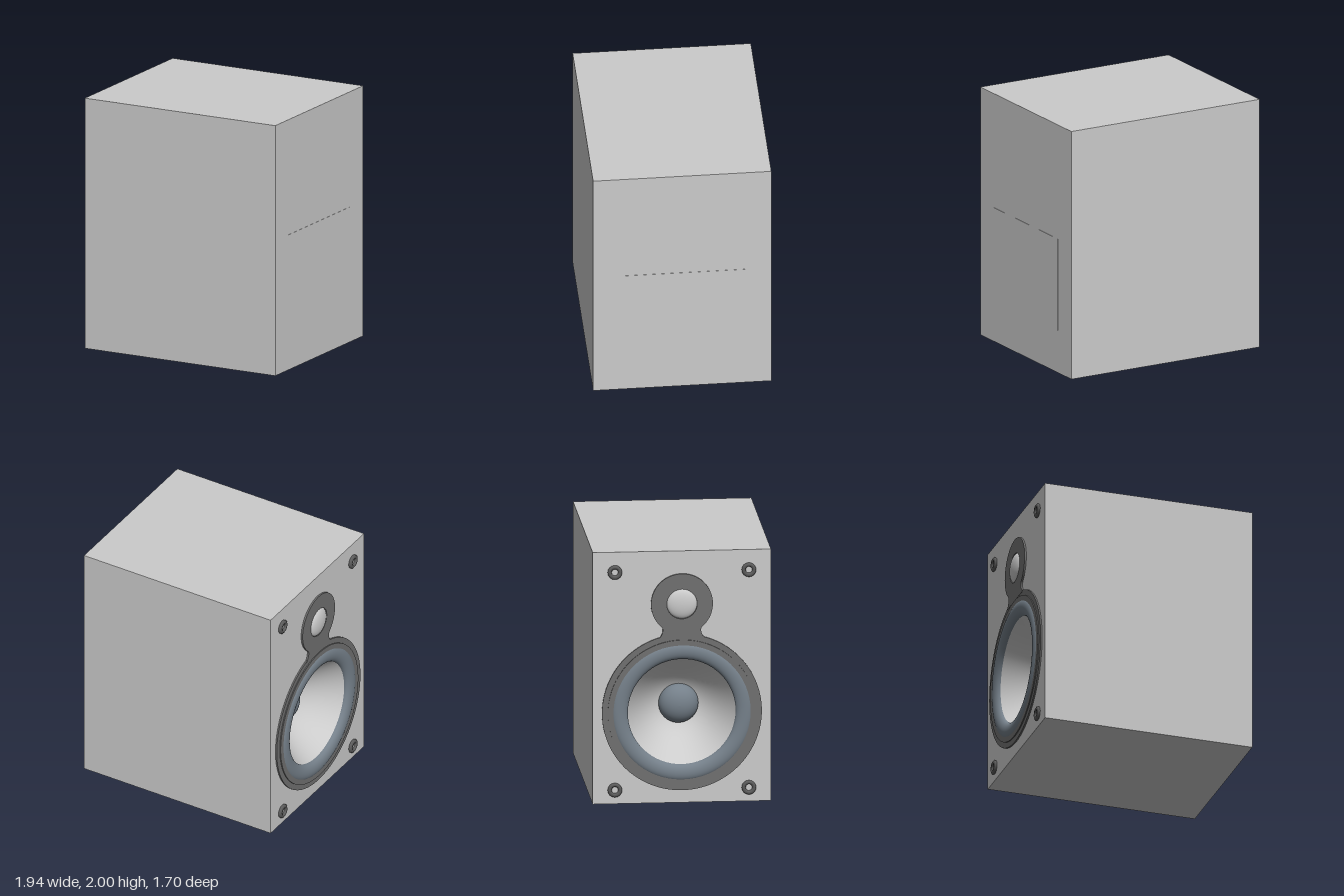
import * as THREE from 'three';

const W = 1.383, H = 2, D = 1.69, FACE = D / 2;
const WOOFER_Y = 0.72, TWEETER_Y = 1.58;

const mat = (color, side = THREE.FrontSide) => new THREE.MeshStandardMaterial({ color, side });
const grey = mat(0xcccccc);
const paleCone = mat(0xcccccc, THREE.DoubleSide);
const dark = mat(0x707070);
const socketDark = mat(0x5c5c5c, THREE.DoubleSide);
const rubber = mat(0x75808a, THREE.DoubleSide);

function add(parent, name, geometry, material, x = 0, y = 0, z = 0) {
  const mesh = new THREE.Mesh(geometry, material);
  mesh.name = name;
  mesh.position.set(x, y, z);
  parent.add(mesh);
  return mesh;
}

// Profile of [radius, height] pairs, listed from outside in, turned to face +z
function turned(points, segments = 64) {
  return new THREE.LatheGeometry(points.map(p => new THREE.Vector2(...p)), segments).rotateX(Math.PI / 2);
}

// Quarter-ellipse dome profile from rim to pole
function dome(radius, height) {
  return Array.from({ length: 13 }, (_, i) => {
    const a = i / 12 * Math.PI / 2;
    return [Math.max(radius * Math.cos(a), 0), height * Math.sin(a)];
  });
}

function circleHole(shape, x, y, r) {
  shape.holes.push(new THREE.Path().absarc(x, y, r, 0, Math.PI * 2, true));
}

const plate = (shape, depth) => new THREE.ExtrudeGeometry(shape, { depth, bevelEnabled: false, curveSegments: 48 });

function buildCabinet(parent) {
  // Box without its baffle side, which is replaced by a pierced panel
  const shell = new THREE.BoxGeometry(W, H, D);
  const index = Array.from(shell.index.array);
  index.splice(24, 6);
  shell.setIndex(index);
  shell.clearGroups();
  add(parent, 'cabinet', shell, grey, 0, H / 2, 0);

  const panel = new THREE.Shape();
  panel.moveTo(-W / 2, 0).lineTo(W / 2, 0).lineTo(W / 2, H).lineTo(-W / 2, H).closePath();
  circleHole(panel, 0, WOOFER_Y, 0.48);
  add(parent, 'baffle', new THREE.ShapeGeometry(panel, 48), grey, 0, 0, FACE);

  // Almost flush terminal panel
  add(parent, 'rearPanel', new THREE.BoxGeometry(0.97, 0.74, 0.02), grey, 0, 0.71, -FACE + 0.008);
}

function buildWoofer(parent) {
  const woofer = new THREE.Group();
  woofer.name = 'woofer';
  woofer.position.set(0, WOOFER_Y, FACE);
  parent.add(woofer);

  // Stepped mounting ring
  for (const [outer, depth] of [[0.62, 0.012], [0.575, 0.02]]) {
    const ring = new THREE.Shape().absarc(0, 0, outer, 0, Math.PI * 2);
    circleHole(ring, 0, 0, 0.53);
    add(woofer, 'mountingRing', plate(ring, depth), dark);
  }

  // Half-roll rubber surround, dipping to the cone on the inside
  const roll = Array.from({ length: 17 }, (_, i) => {
    const a = i / 16 * Math.PI;
    return [0.482 + 0.064 * Math.cos(a), 0.037 * Math.sin(a) - 0.012 * i / 16];
  });
  add(woofer, 'surround', turned(roll), rubber);

  // Gently curved cone
  const cone = Array.from({ length: 13 }, (_, i) => {
    const t = i / 12;
    return [0.425 - 0.285 * t, -0.01 - 0.3 * Math.sin(t * 1.25) / Math.sin(1.25)];
  });
  add(woofer, 'cone', turned(cone), paleCone);
  add(woofer, 'dustCap', turned(dome(0.155, 0.11), 40), rubber, 0, 0, -0.3);
}

function buildTweeter(parent) {
  const tweeter = new THREE.Group();
  tweeter.name = 'tweeter';
  tweeter.position.set(0, TWEETER_Y, FACE);
  parent.add(tweeter);

  // Round faceplate whose flared neck meets the woofer ring
  const a = -0.85, r = 0.24;
  const outline = new THREE.Shape();
  outline.absarc(0, 0, r, a, Math.PI - a, false);
  outline.quadraticCurveTo(-0.13, -0.21, -0.18, -0.28);
  outline.lineTo(0.18, -0.28);
  outline.quadraticCurveTo(0.13, -0.21, r * Math.cos(a), r * Math.sin(a));
  circleHole(outline, 0, 0, 0.118);
  add(tweeter, 'faceplate', plate(outline, 0.014), dark);
  add(tweeter, 'dome', turned(dome(0.118, 0.04), 40), paleCone);
}

function buildSockets(parent) {
  // Grille sockets in the four corners
  const profile = [[0.056, 0], [0.056, 0.012], [0.045, 0.02], [0.03, 0.02], [0.025, 0.003]];
  for (const x of [-0.52, 0.52]) {
    for (const y of [0.11, 1.84]) {
      add(parent, 'grilleSocket', turned(profile, 16), socketDark, x, y, FACE);
      add(parent, 'socketCentre', new THREE.CircleGeometry(0.026, 16), grey, x, y, FACE + 0.003);
    }
  }
}

export function createModel() {
  const model = new THREE.Group();
  model.name = 'loudspeaker';
  const body = new THREE.Group();
  body.name = 'speakerBody';
  buildCabinet(body);
  buildWoofer(body);
  buildTweeter(body);
  buildSockets(body);
  // The whole speaker is turned so its baffle looks toward -x and slightly back
  body.rotation.y = -1.775;
  model.add(body);
  return model;
}
